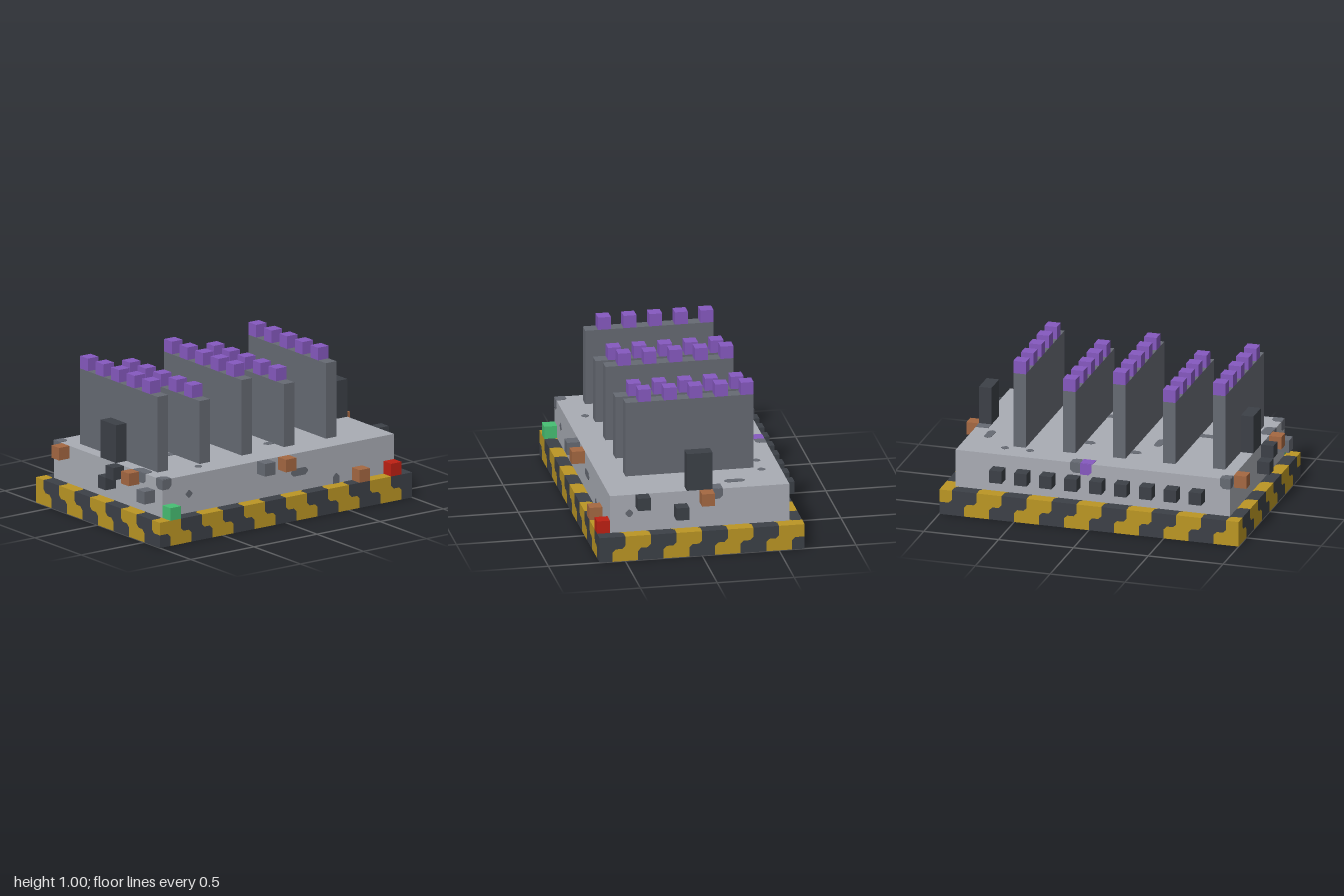
import * as THREE from 'three';

const U = 1 / 12; // one block; the grid is 24 x 12 x 16 blocks

const mat = (name, color) => {
  const m = new THREE.MeshStandardMaterial({ color });
  m.name = name;
  return m;
};

export function createModel() {
  const group = new THREE.Group();
  const pale = mat('pale grey', 0xa9acb4);
  const grey = mat('mid grey', 0x666a73);
  const dark = mat('charcoal', 0x3c4047);
  const gold = mat('gold', 0xbb9624);
  const purple = mat('purple', 0x8659c0);
  const brown = mat('copper', 0xa56842);
  const red = mat('red', 0xbe2013);
  const green = mat('green', 0x47bf73);

  const add = (name, geometry, material) => {
    const mesh = new THREE.Mesh(geometry, material);
    mesh.name = name;
    group.add(mesh);
    return mesh;
  };

  // Box from its lowest block (i, j, k) and its size in blocks
  const box = (name, material, i, j, k, w = 1, h = 1, d = 1) =>
    add(name, new THREE.BoxGeometry(w * U, h * U, d * U), material)
      .position.set((i + w / 2 - 12) * U, (j + h / 2) * U, (k + d / 2 - 8) * U);

  // Hazard-striped base: stepped diagonals with clipped corners
  const isGold = (i, j, k) => ((i + j + k) & 3) < 2;
  const tris = { true: [], false: [] };
  const stripedFace = (nu, nv, point, flip) => {
    const colourAt = (a, b) => {
      const [x, y, z] = point(a + 0.5, b + 0.5);
      return isGold(Math.min(23, Math.floor(x)), Math.min(1, Math.floor(y)), Math.min(15, Math.floor(z)));
    };
    const inside = (a, b) => a >= 0 && b >= 0 && a < nu && b < nv;
    const fan = (colour, pts) => {
      for (let n = 1; n < pts.length - 1; n++) {
        const tri = [pts[0], pts[n], pts[n + 1]];
        if (flip) tri.reverse();
        for (const [a, b] of tri) {
          const [x, y, z] = point(a, b);
          tris[colour].push((x - 12) * U, y * U, (z - 8) * U);
        }
      }
    };
    const corners = [[-1, -1], [1, -1], [1, 1], [-1, 1]];
    for (let a = 0; a < nu; a++) for (let b = 0; b < nv; b++) {
      const c = colourAt(a, b), outline = [];
      corners.forEach(([s, t], n) => {
        const p = [a + 0.5 + s / 2, b + 0.5 + t / 2];
        const around = [[a + s, b], [a, b + t], [a + s, b + t]];
        if (!around.every(([x, y]) => inside(x, y) && colourAt(x, y) !== c)) {
          outline.push(p);
          return;
        }
        const alongA = [p[0] - s * 0.25, p[1]], alongB = [p[0], p[1] - t * 0.25];
        const cut = n % 2 ? [alongA, alongB] : [alongB, alongA];
        outline.push(...cut);
        fan(!c, [cut[0], p, cut[1]]);
      });
      fan(c, outline);
    }
  };
  stripedFace(24, 2, (a, b) => [a, b, 16], false);
  stripedFace(24, 2, (a, b) => [a, b, 0], true);
  stripedFace(16, 2, (a, b) => [24, b, a], true);
  stripedFace(16, 2, (a, b) => [0, b, a], false);
  stripedFace(24, 16, (a, b) => [a, 2, b], true);
  stripedFace(24, 16, (a, b) => [a, 0, b], false);
  for (const [key, name, material] of [[true, 'baseGoldStripes', gold], [false, 'baseDarkStripes', dark]]) {
    const g = new THREE.BufferGeometry();
    g.setAttribute('position', new THREE.Float32BufferAttribute(tris[key], 3));
    g.computeVertexNormals();
    add(name, g, material);
  }

  // Main slab and end posts
  box('slab', pale, 1, 2, 1, 22, 3, 14);
  for (const i of [1, 22]) box('endPost', dark, i, 5, 7, 1, 3, 2);

  // Fins, alternating tall and short, with toothed caps
  [2, 6, 10, 14, 18].forEach((i, n) => {
    const h = n % 2 ? 5 : 6;
    box('fin', grey, i, 5, 3, 1, h, 10);
    for (let k = 3; k < 12; k += 2) box('finTooth', purple, i, 5 + h, k);
  });

  // Blocks fixed to the slab walls
  for (let i = 3; i < 20; i += 2) box('backStud', dark, i, 3, 0);
  [
    ['greenLamp', green, 1, 2, 15], ['redLamp', red, 22, 2, 15],
    ['frontStud', grey, 10, 4, 15], ['frontTerminal', brown, 12, 4, 15], ['frontTerminal', brown, 19, 2, 15],
    ['rightStud', dark, 23, 4, 12], ['rightStud', dark, 23, 3, 9], ['rightTerminal', brown, 23, 4, 7],
    ['leftTerminal', brown, 0, 4, 2], ['leftTerminal', brown, 0, 4, 11],
    ['leftStud', dark, 0, 3, 8], ['leftStud', dark, 0, 4, 9], ['leftStud', grey, 0, 3, 13],
  ].forEach((b) => box(...b));

  // Thin patches on the slab; edges on whole numbers stay square
  const V = (x, y, z) => new THREE.Vector3(x, y, z);
  const faces = {
    top: { u: V(1, 0, 0), v: V(0, 0, -1), n: V(0, 1, 0), o: V(0, 5, 0), ca: 12, cb: 8, sa: 1, sb: -1 },
    front: { u: V(1, 0, 0), v: V(0, 1, 0), n: V(0, 0, 1), o: V(0, 0, 7), ca: 12, cb: 0, sa: 1, sb: 1 },
    back: { u: V(-1, 0, 0), v: V(0, 1, 0), n: V(0, 0, -1), o: V(0, 0, -7), ca: 12, cb: 0, sa: -1, sb: 1 },
    right: { u: V(0, 0, -1), v: V(0, 1, 0), n: V(1, 0, 0), o: V(11, 0, 0), ca: 8, cb: 0, sa: -1, sb: 1 },
    left: { u: V(0, 0, 1), v: V(0, 1, 0), n: V(-1, 0, 0), o: V(-11, 0, 0), ca: 8, cb: 0, sa: 1, sb: 1 },
  };
  const patch = (face, a0, b0, a1, b1, material = grey) => {
    const f = faces[face], r = 0.24, pts = [];
    [[a0, b0, 1, 1], [a1, b0, -1, 1], [a1, b1, -1, -1], [a0, b1, 1, -1]].forEach(([a, b, s, t], n) => {
      if (Number.isInteger(a) || Number.isInteger(b)) return pts.push([a, b]);
      const cut = [[a, b + t * r], [a + s * r, b]];
      pts.push(...(n % 2 ? cut.reverse() : cut));
    });
    const shape = new THREE.Shape(pts.map(([a, b]) =>
      new THREE.Vector2(f.sa * (a - f.ca) * U, f.sb * (b - f.cb) * U)));
    const g = new THREE.ExtrudeGeometry(shape, { depth: 0.003, bevelEnabled: false });
    g.applyMatrix4(new THREE.Matrix4().makeBasis(f.u, f.v, f.n).setPosition(f.o.clone().multiplyScalar(U)));
    add(face + 'Patch', g, material);
  };
  [
    ['top', 1, 1, 1.8, 1.8], ['top', 13, 1, 13.8, 1.8], ['top', 17.2, 2.2, 17.8, 2.8], ['top', 19.2, 2.2, 19.8, 2.8],
    ['top', 9.2, 4.2, 10, 4.8], ['top', 21.2, 4.2, 21.8, 5.8], ['top', 13.2, 5.2, 14, 5.8],
    ['top', 8.2, 6.2, 8.8, 7.5], ['top', 7, 7.2, 8.8, 7.8], ['top', 22, 6.2, 23, 7],
    ['top', 4.2, 9.2, 6, 9.8], ['top', 7, 9.2, 7.8, 9.8], ['top', 13.2, 11.2, 14, 11.8],
    ['top', 5.2, 13.2, 5.8, 13.8], ['top', 1, 11.2, 1.8, 12.8], ['top', 1, 14.2, 1.8, 15],
    ['front', 1, 4.2, 1.8, 5], ['front', 3.2, 3.2, 3.8, 3.8], ['front', 13.2, 3.2, 14.8, 3.8],
    ['front', 17.2, 2, 17.8, 2.8],
    ['right', 13.2, 3.2, 13.8, 3.8], ['right', 6.2, 4.2, 7, 5],
    ['left', 1, 4.2, 1.8, 5], ['left', 11.2, 4.2, 12.8, 5], ['left', 14.2, 4.2, 15, 5],
    ['back', 1, 4.2, 1.8, 5], ['back', 13, 4.2, 13.8, 5],
    ['top', 12, 1, 13, 1.9, purple], ['back', 12.1, 4.1, 13, 5, purple],
  ].forEach((p) => patch(...p));

  return group;
}
